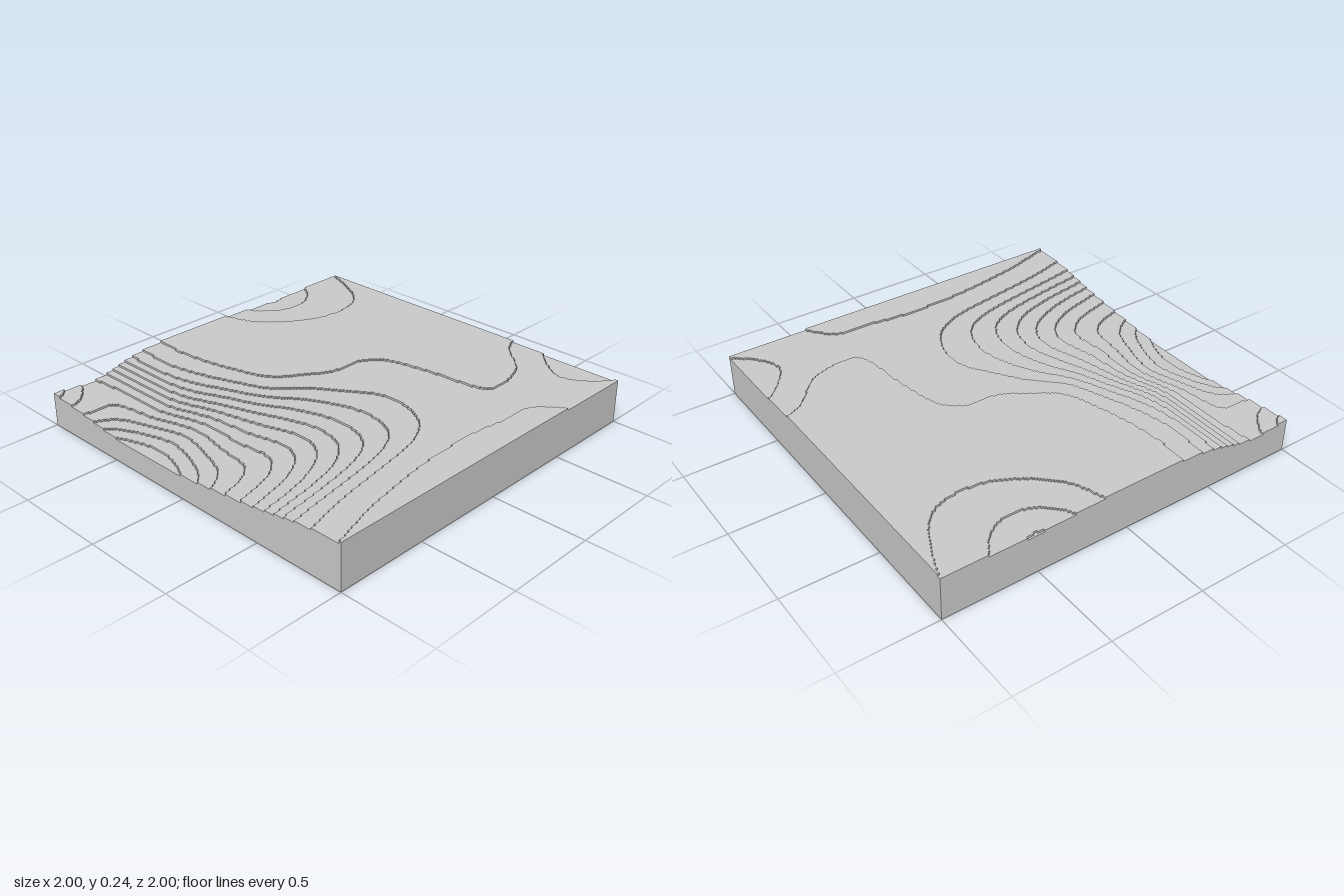
import * as THREE from 'three';

const CELLS = 200;      // terrain cells per side
const TOP = 0.243;      // plateau height
const STEP = 0.0105;    // thickness of one terrace layer

// Terrace depth (layers below the plateau): rows run back to front, columns -x to +x
const DEPTH = [
  [6.5, 8.0, 2.8, 0.6, 0.3, 1.7, 3.1, 2.05, 1.0],
  [9.0, 8.3, 2.7, 0.65, 0.35, 0.95, 1.5, 1.35, 0.7],
  [12.0, 8.4, 3.4, 0.85, 0.4, 0.5, 0.75, 0.75, 0.5],
  [13.0, 9.5, 5.0, 1.5, 0.6, 0.6, 0.5, 0.4, 0.4],
  [12.0, 9.0, 6.0, 3.3, 1.5, 1.15, 0.75, 0.5, 0.4],
  [9.5, 8.5, 6.5, 4.0, 2.3, 1.35, 0.85, 0.6, 0.6],
  [6.8, 6.0, 4.9, 3.5, 2.1, 1.4, 0.9, 0.85, 1.8],
  [2.8, 2.2, 1.75, 1.45, 1.25, 1.15, 1.1, 1.65, 2.8],
  [0.9, 0.5, 0.4, 0.3, 0.4, 0.75, 0.92, 1.3, 1.95],
];

// Catmull-Rom through a row of evenly spaced values, t in 0..1
function spline(values, t) {
  const n = values.length - 1;
  const i = Math.min(Math.floor(t * n), n - 1);
  const f = t * n - i;
  const b = values[i], c = values[i + 1];
  const a = i > 0 ? values[i - 1] : 2 * b - c;
  const d = i + 2 <= n ? values[i + 2] : 2 * c - b;
  return b + 0.5 * f * (c - a + f * (2 * a - 5 * b + 4 * c - d + f * (3 * (b - c) + d - a)));
}

// Stepped height of every cell
function makeHeights() {
  const heights = [];
  for (let j = 0; j < CELLS; j++) {
    const v = (j + 0.5) / CELLS, row = [];
    for (let i = 0; i < CELLS; i++) {
      const u = (i + 0.5) / CELLS;
      const depth = spline(DEPTH.map((r) => spline(r, u)), v);
      row.push(TOP - STEP * Math.max(0, Math.floor(depth)));
    }
    heights.push(row);
  }
  return heights;
}

function terrainGeometry() {
  const heights = makeHeights();
  const at = (i, j) => (heights[j] && heights[j][i]) || 0;
  const pos = (k) => -1 + (2 * k) / CELLS;
  const points = [];
  const quad = (a, b, c, d) => points.push(...a, ...b, ...c, ...a, ...c, ...d);
  const wall = (ax, az, bx, bz, hi, lo) => {
    if (hi > lo) quad([ax, hi, az], [ax, lo, az], [bx, lo, bz], [bx, hi, bz]);
  };

  for (let j = 0; j < CELLS; j++) {
    const z0 = pos(j), z1 = pos(j + 1);
    // terrace tops, merged into strips of equal height
    for (let i = 0, start = 0; i < CELLS; i++) {
      const h = at(i, j);
      if (at(i + 1, j) === h) continue;
      const a = pos(start), b = pos(i + 1);
      quad([a, h, z0], [a, h, z1], [b, h, z1], [b, h, z0]);
      start = i + 1;
    }
    // risers between terraces and the outer sides
    for (let i = 0; i < CELLS; i++) {
      const x0 = pos(i), x1 = pos(i + 1), h = at(i, j);
      wall(x1, z1, x1, z0, h, at(i + 1, j));
      wall(x0, z0, x0, z1, h, at(i - 1, j));
      wall(x0, z1, x1, z1, h, at(i, j + 1));
      wall(x1, z0, x0, z0, h, at(i, j - 1));
    }
  }
  // underside
  quad([-1, 0, -1], [1, 0, -1], [1, 0, 1], [-1, 0, 1]);

  const geometry = new THREE.BufferGeometry();
  geometry.setAttribute('position', new THREE.Float32BufferAttribute(points, 3));
  geometry.computeVertexNormals();
  return geometry;
}

export function createModel() {
  const group = new THREE.Group();
  group.name = 'terrainTile';
  const material = new THREE.MeshStandardMaterial({ color: 0xcccccc });
  const terrain = new THREE.Mesh(terrainGeometry(), material);
  terrain.name = 'terracedTerrain';
  group.add(terrain);
  return group;
}
